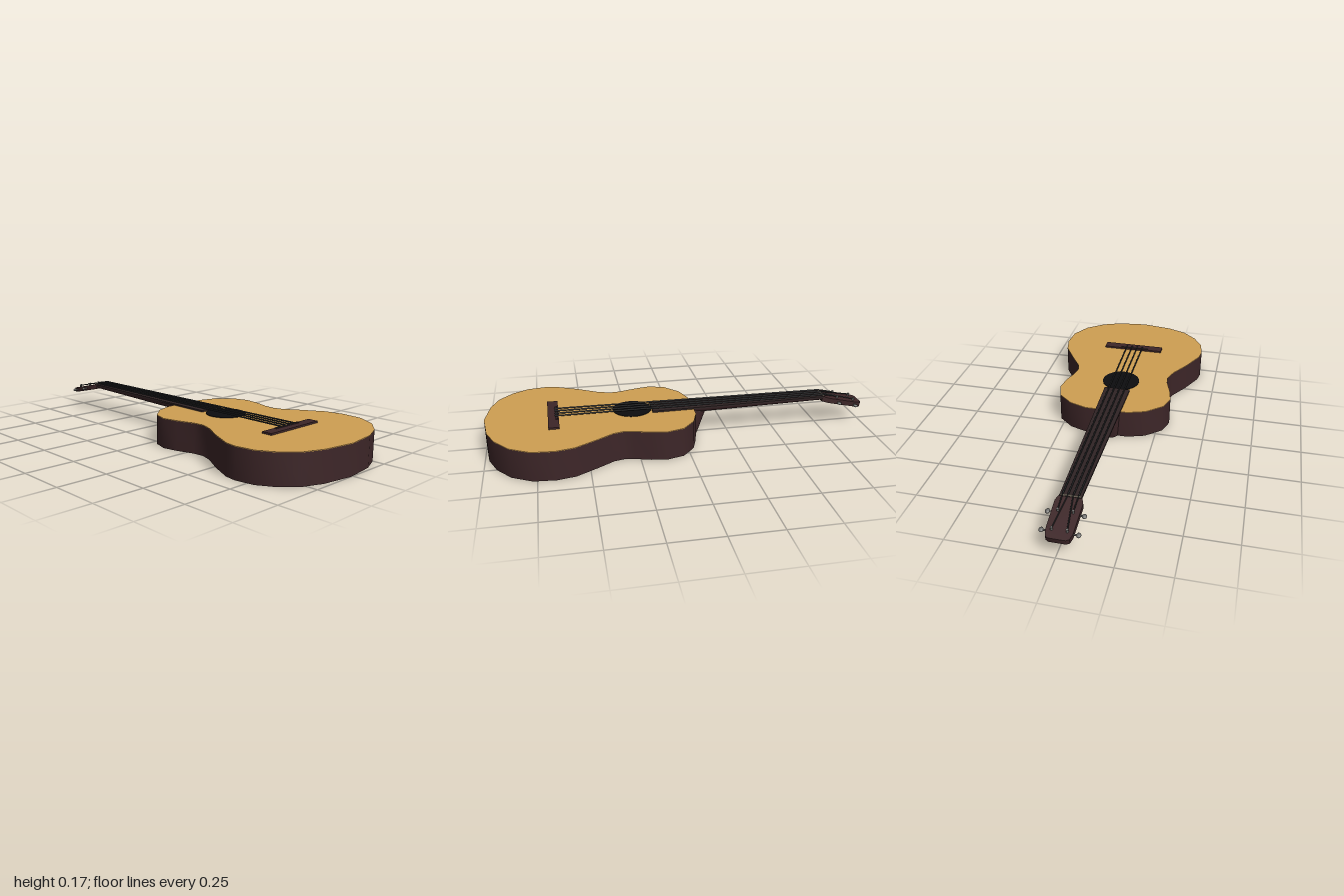
import * as THREE from 'three';
import { toCreasedNormals } from 'three/addons/utils/BufferGeometryUtils.js';
import { ConvexGeometry } from 'three/addons/geometries/ConvexGeometry.js';

const CX = -0.01; // centre line of neck, strings and sound hole
const V = (x, y, z) => new THREE.Vector3(x, y, z);

// Plan outline (x, z) running down the right side and back up the left
const OUTLINE = [
  [0.11, -0.06], [0.2, -0.03], [0.275, 0.035], [0.299, 0.12], [0.287, 0.2], [0.262, 0.28],
  [0.255, 0.33], [0.268, 0.38], [0.32, 0.46], [0.386, 0.57], [0.405, 0.66], [0.396, 0.77],
  [0.34, 0.87], [0.25, 0.94], [0.15, 0.98], [-0.01, 1.0], [-0.17, 0.975], [-0.27, 0.935],
  [-0.345, 0.865], [-0.392, 0.785], [-0.407, 0.69], [-0.398, 0.63], [-0.34, 0.51], [-0.28, 0.41],
  [-0.257, 0.345], [-0.262, 0.29], [-0.29, 0.2], [-0.306, 0.12], [-0.28, 0.04], [-0.2, -0.03], [-0.11, -0.06],
];

// Extrudes a plan shape upwards from y0; shape y points to -z
function slab(points, y0, height) {
  const shape = new THREE.Shape(points.map(([x, z]) => new THREE.Vector2(x, -z)));
  const g = new THREE.ExtrudeGeometry(shape, { depth: height, bevelEnabled: false });
  g.rotateX(-Math.PI / 2).translate(0, y0, 0);
  return toCreasedNormals(g, 0.7);
}

export function createModel() {
  const material = (name, color) => {
    const m = new THREE.MeshStandardMaterial({ color });
    m.name = name;
    return m;
  };
  const wood = material('darkWood', 0x3d2628);
  const spruce = material('paleTop', 0xcf9f52);
  const board = material('fingerboardWood', 0x302425);
  const black = material('holeBlack', 0x0d0d0f);
  const wire = material('stringGrey', 0x2c2e30);
  const metal = material('pegMetal', 0x6c6c6a);
  const bone = material('nutBone', 0xb8ab94);

  const guitar = new THREE.Group();
  guitar.name = 'guitar';
  const add = (name, geometry, mat, parent = guitar) => {
    const mesh = new THREE.Mesh(geometry, mat);
    mesh.name = name;
    parent.add(mesh);
    return mesh;
  };
  const box = (name, w, h, d, x, y, z, mat, parent) =>
    add(name, new THREE.BoxGeometry(w, h, d), mat, parent).position.set(x, y, z);
  const rod = (name, a, b, r, mat, parent) => {
    const dir = b.clone().sub(a);
    const mesh = add(name, new THREE.CylinderGeometry(r, r, dir.length(), 8), mat, parent);
    mesh.position.copy(a).add(b).multiplyScalar(0.5);
    mesh.quaternion.setFromUnitVectors(V(0, 1, 0), dir.normalize());
  };

  // Body and soundboard
  add('body', slab(OUTLINE, 0, 0.147), wood);
  add('soundboard', slab(OUTLINE, 0.147, 0.003), spruce);
  add('soundHole', new THREE.CylinderGeometry(0.1, 0.1, 0.003, 40), black).position.set(CX, 0.151, 0.254);

  // Bridge and saddle
  box('bridge', 0.336, 0.009, 0.054, -0.002, 0.1545, 0.658, wood);
  box('saddle', 0.16, 0.004, 0.012, CX, 0.161, 0.642, board);

  // Half-round neck and the heel that joins it to the body
  const neckPoints = [], heelPoints = [];
  for (let i = 0; i <= 12; i++) {
    const c = Math.cos((i / 12) * Math.PI), s = Math.sin((i / 12) * Math.PI);
    neckPoints.push(V(CX + 0.06 * c, 0.15 - 0.037 * s, -0.05), V(CX + 0.049 * c, 0.15 - 0.021 * s, -0.785));
    heelPoints.push(V(CX + 0.05 * c, 0, -0.05 - 0.042 * s), V(CX + 0.059 * c, 0.125, -0.05 - 0.088 * s));
  }
  heelPoints.push(V(CX + 0.06, 0.148, -0.05), V(CX - 0.06, 0.148, -0.05));
  add('neck', toCreasedNormals(new ConvexGeometry(neckPoints), 0.6), wood);
  add('heel', toCreasedNormals(new ConvexGeometry(heelPoints), 0.6), wood);

  // Fingerboard and nut
  add('fingerboard', slab([
    [CX + 0.069, 0.155], [CX - 0.069, 0.155], [CX - 0.05, -0.785], [CX + 0.05, -0.785],
  ], 0.149, 0.009), board);
  box('nut', 0.09, 0.006, 0.006, CX, 0.159, -0.78, bone);

  // Headstock, tilted back
  const head = new THREE.Group();
  head.name = 'headstock';
  head.position.set(CX, 0.157, -0.78);
  head.rotation.x = -0.225;
  guitar.add(head);
  const half = [[0.05, 0.005], [0.063, -0.03], [0.06, -0.19], [0.052, -0.218], [0.038, -0.2257]];
  const mirrored = half.map(([x, z]) => [-x, z]).reverse();
  add('headPlate', slab([...half, ...mirrored], -0.027, 0.027), wood, head);

  // Tuning pegs: post, shaft and button
  for (const side of [-1, 1]) {
    for (const z of [-0.084, -0.181]) {
      rod('tuningPost', V(side * 0.034, -0.002, z), V(side * 0.034, 0.015, z), 0.006, metal, head);
      rod('tuningShaft', V(side * 0.05, -0.014, z), V(side * 0.08, -0.014, z), 0.004, metal, head);
      const button = add('tuningButton', new THREE.SphereGeometry(0.013, 12, 8), metal, head);
      button.scale.set(0.85, 0.6, 1);
      button.position.set(side * 0.081, -0.014, z);
    }
  }

  // Strings from bridge over the nut to the posts
  for (let i = 0; i < 4; i++) {
    const k = i - 1.5, side = Math.sign(k);
    const nut = V(CX + k * 0.024, 0.164, -0.78);
    rod('string', V(CX + k * 0.031, 0.165, 0.65), nut, 0.004, wire);
    const z = Math.abs(k) > 1 ? -0.084 : -0.181;
    rod('stringEnd', V(k * 0.024, 0.007, 0), V(side * 0.034, 0.009, z), 0.003, wire, head);
  }
  return guitar;
}
